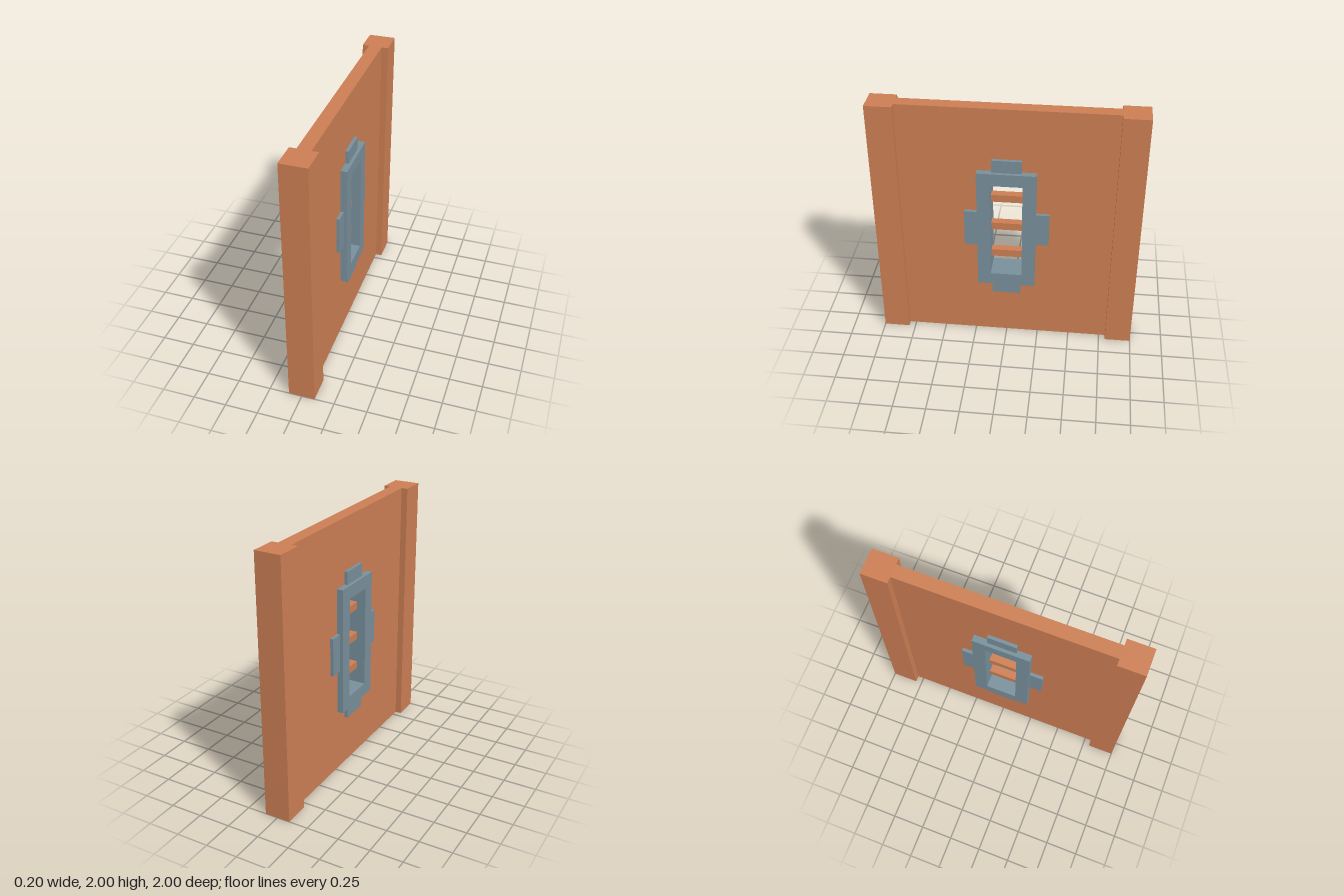
import * as THREE from 'three';

const clay = new THREE.MeshStandardMaterial({ color: 0xcd7f54 });
const steel = new THREE.MeshStandardMaterial({ color: 0x78909c });

function box(parent, name, material, size, position) {
  const mesh = new THREE.Mesh(new THREE.BoxGeometry(...size), material);
  mesh.name = name;
  mesh.position.set(...position);
  parent.add(mesh);
}

// Upright slab in the zy plane with a rectangular opening, centred on x = 0
function slab(parent, name, material, half, y0, y1, thick, holeHalf, h0, h1) {
  const corners = (w, a, b) => [[-w, a], [w, a], [w, b], [-w, b]].map(p => new THREE.Vector2(...p));
  const shape = new THREE.Shape(corners(half, y0, y1));
  shape.holes.push(new THREE.Path(corners(holeHalf, h0, h1)));
  const geometry = new THREE.ExtrudeGeometry(shape, { depth: thick, bevelEnabled: false });
  geometry.translate(0, 0, -thick / 2).rotateY(Math.PI / 2);
  const mesh = new THREE.Mesh(geometry, material);
  mesh.name = name;
  parent.add(mesh);
}

export function createModel() {
  const model = new THREE.Group();
  model.name = 'wallWithWindow';

  // Wall panel between two posts
  slab(model, 'wallPanel', clay, 0.8, 0, 2, 0.1, 0.17, 0.55, 1.45);
  box(model, 'frontPost', clay, [0.2, 2, 0.2], [0, 1, 0.9]);
  box(model, 'backPost', clay, [0.2, 2, 0.2], [0, 1, -0.9]);

  // Window frame lining the opening, with three crossbars
  slab(model, 'windowFrame', steel, 0.22, 0.5, 1.5, 0.2, 0.12, 0.6, 1.4);
  for (const y of [0.75, 1, 1.25]) box(model, 'crossbar', clay, [0.06, 0.06, 0.25], [0, y, 0]);

  // Raised tabs around the frame, the same on both faces by a half turn
  for (const angle of [0, Math.PI]) {
    const tabs = new THREE.Group();
    tabs.name = 'frameTabs';
    tabs.rotation.y = angle;
    box(tabs, 'topTab', steel, [0.03, 0.11, 0.22], [0.06, 1.545, 0]);
    box(tabs, 'bottomTab', steel, [0.03, 0.11, 0.22], [0.06, 0.455, 0]);
    box(tabs, 'sideTab', steel, [0.03, 0.3, 0.11], [0.06, 1, 0.265]);
    box(tabs, 'shortSideTab', steel, [0.03, 0.27, 0.11], [0.06, 1.015, -0.265]);
    model.add(tabs);
  }
  return model;
}
